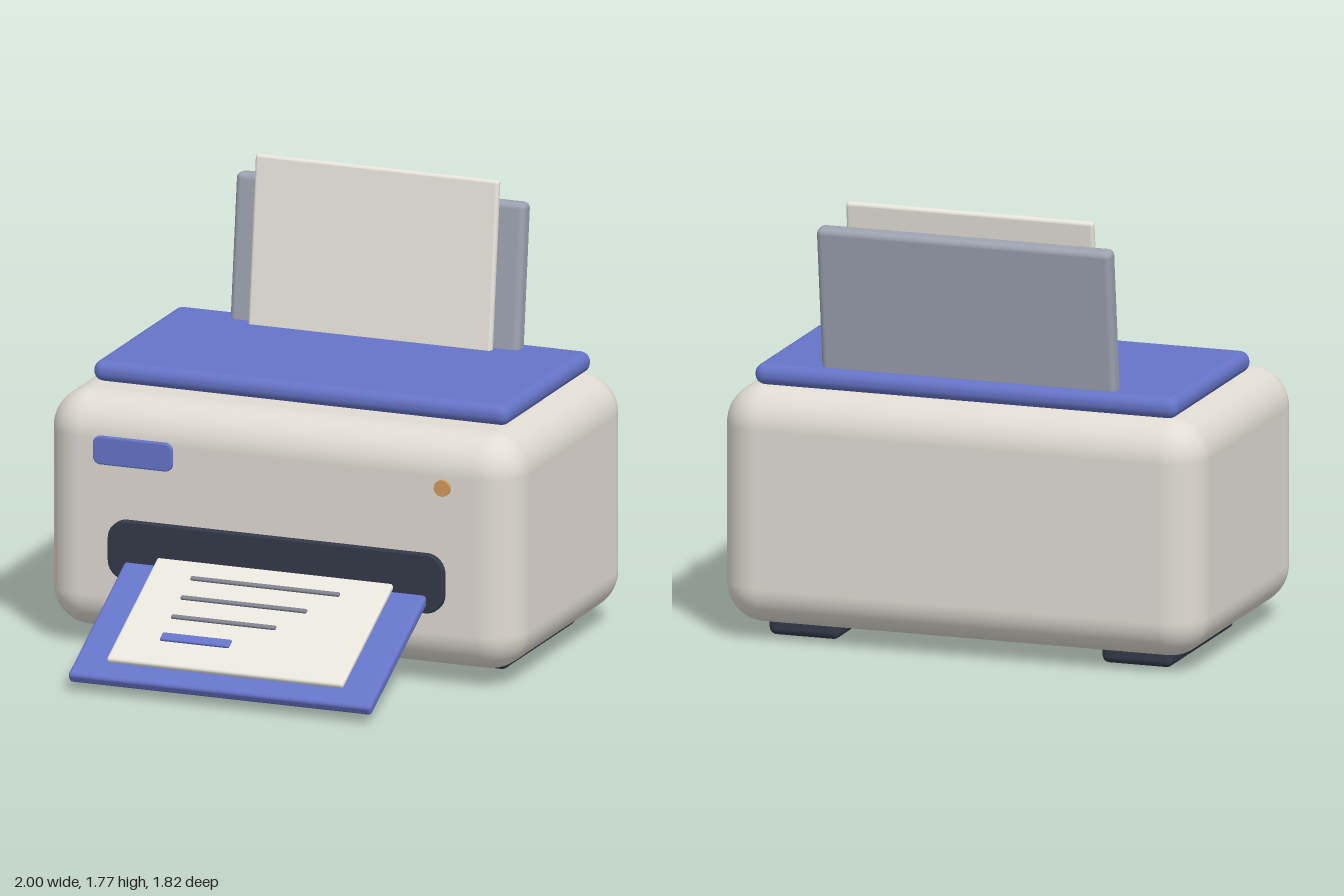
import * as THREE from 'three';
import { RoundedBoxGeometry } from 'three/addons/geometries/RoundedBoxGeometry.js';

const COLORS = {
  shell: 0xe0dcd3, blue: 0x6674c8, dark: 0x343a4a, grey: 0x9ca2af,
  paper: 0xe8e5dc, ink: 0x80838e, amber: 0xd29a5c,
};
const materials = {};
for (const key in COLORS) materials[key] = new THREE.MeshStandardMaterial({ color: COLORS[key] });

function add(parent, name, geometry, material, x, y, z) {
  const mesh = new THREE.Mesh(geometry, materials[material]);
  mesh.name = name;
  mesh.position.set(x, y, z);
  parent.add(mesh);
  return mesh;
}

// Box with rounded edges, given by size and centre
function box(parent, name, material, [w, h, d], [x, y, z], radius, segments = 4) {
  return add(parent, name, new RoundedBoxGeometry(w, h, d, segments, radius), material, x, y, z);
}

// Plate with rounded corners in the front plane and a small bevel
function plate(parent, name, material, w, h, depth, r, x, y, zFront) {
  const bevel = 0.006;
  const a = w / 2 - bevel, b = h / 2 - bevel;
  const s = new THREE.Shape();
  s.absarc(a - r, b - r, r, 0, Math.PI / 2);
  s.absarc(-a + r, b - r, r, Math.PI / 2, Math.PI);
  s.absarc(-a + r, -b + r, r, Math.PI, Math.PI * 1.5);
  s.absarc(a - r, -b + r, r, Math.PI * 1.5, Math.PI * 2);
  s.closePath();
  const geometry = new THREE.ExtrudeGeometry(s, {
    depth, bevelEnabled: true, bevelSize: bevel, bevelThickness: bevel, bevelSegments: 2, curveSegments: 8,
  });
  return add(parent, name, geometry, material, x, y, zFront - depth - bevel);
}

export function createModel() {
  const model = new THREE.Group();
  model.name = 'printer';

  // Housing, lid and feet
  box(model, 'body', 'shell', [2, 0.96, 1.21], [0, 0.54, -0.313], 0.16, 8);
  box(model, 'lid', 'blue', [1.76, 0.085, 0.89], [0, 1.06, -0.377], 0.04);
  for (const side of [-1, 1]) {
    box(model, side > 0 ? 'leftFoot' : 'rightFoot', 'dark',
      [0.295, 0.08, 0.74], [side * 0.693, 0.04, -0.39], 0.03);
  }

  // Front details
  plate(model, 'outputSlot', 'dark', 1.42, 0.24, 0.06, 0.07, 0, 0.422, 0.32);
  plate(model, 'frontPanel', 'blue', 0.335, 0.115, 0.04, 0.025, -0.61, 0.815, 0.308);
  const button = add(model, 'button', new THREE.CylinderGeometry(0.033, 0.033, 0.04, 28), 'amber', 0.7, 0.815, 0.288);
  button.rotation.x = Math.PI / 2;

  // Paper support and input sheet, leaning back out of the lid
  const feeder = new THREE.Group();
  feeder.name = 'paperFeeder';
  feeder.position.set(0, 1.1, -0.74);
  feeder.rotation.x = -0.115;
  model.add(feeder);
  box(feeder, 'paperSupport', 'grey', [1.225, 0.68, 0.077], [0, 0.242, 0], 0.025);
  box(feeder, 'inputPaper', 'paper', [1.03, 0.76, 0.034], [0, 0.29, 0.067], 0.014);

  // Output tray sloping down to the front
  const output = new THREE.Group();
  output.name = 'outputTray';
  output.position.set(0, 0.35, 0.32);
  output.rotation.x = 0.477;
  model.add(output);
  box(output, 'tray', 'blue', [1.28, 0.045, 0.75], [0, 0, 0.273], 0.015);
  box(output, 'printedPaper', 'paper', [1, 0.025, 0.65], [0, 0.039, 0.242], 0.011);

  // Printed marks: right end, distance down the sheet, width, colour
  const marks = [
    [0.313, 0.075, 0.02, 'ink'],
    [0.215, 0.188, 0.02, 'ink'],
    [0.125, 0.3, 0.02, 'ink'],
    [-0.025, 0.418, 0.043, 'blue'],
  ];
  for (const [end, z, width, color] of marks) {
    const start = -0.318;
    box(output, 'printedLine', color, [end - start, 0.013, width], [(start + end) / 2, 0.061, z], 0.006, 2);
  }

  return model;
}
